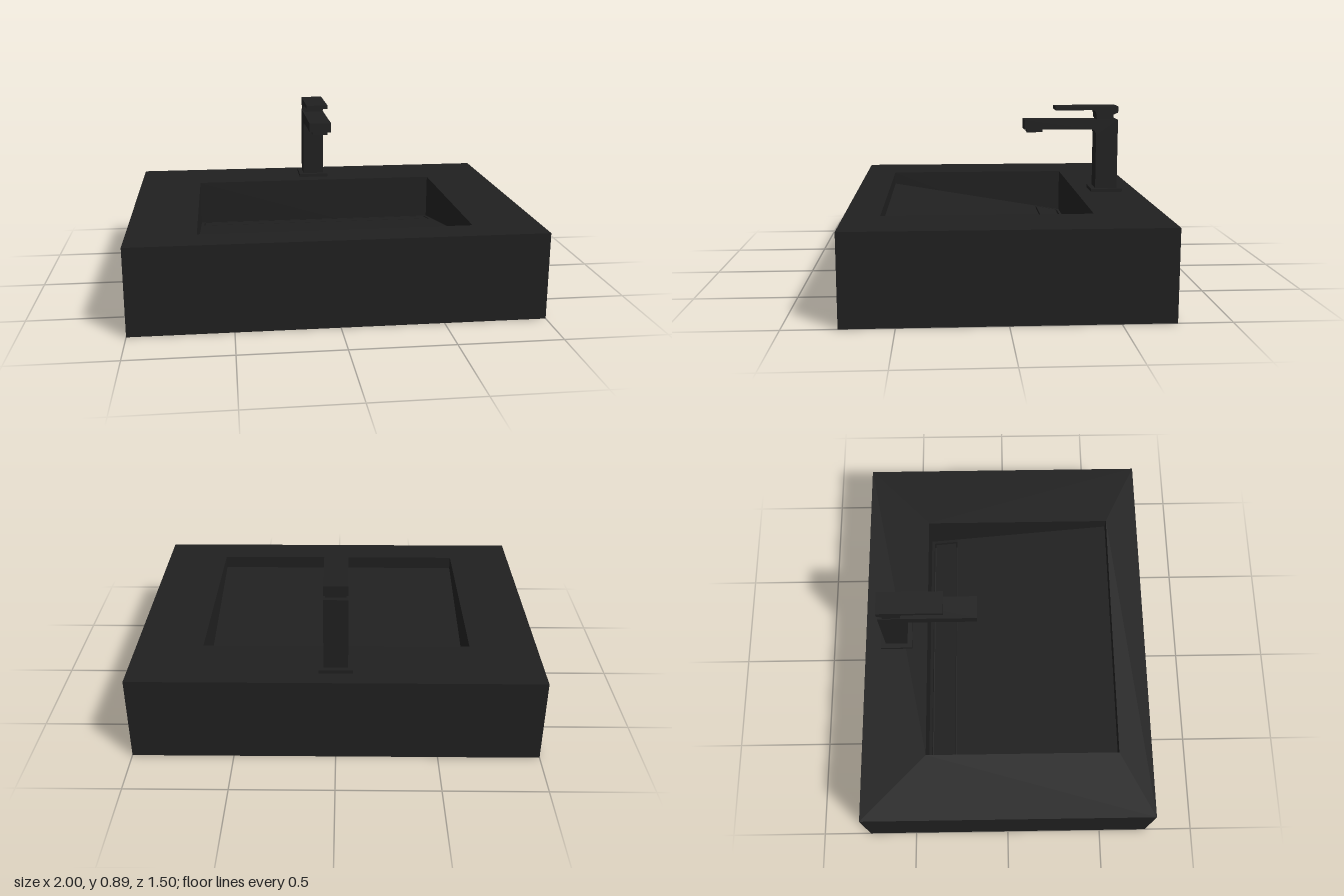
import * as THREE from 'three';

const material = new THREE.MeshStandardMaterial({ color: 0x202020 });

function addMesh(parent, name, geometry) {
  const mesh = new THREE.Mesh(geometry, material);
  mesh.name = name;
  parent.add(mesh);
  return mesh;
}

// Box given by its limits on each axis
function addBox(parent, name, [x0, x1], [y0, y1], [z0, z1]) {
  const geometry = new THREE.BoxGeometry(x1 - x0, y1 - y0, z1 - z0);
  geometry.translate((x0 + x1) / 2, (y0 + y1) / 2, (z0 + z1) / 2);
  return addMesh(parent, name, geometry);
}

// Side profile in (z, y), extruded across the width and centred on x = 0
function addProfile(parent, name, shape, halfWidth) {
  const geometry = new THREE.ExtrudeGeometry(shape, { depth: 2 * halfWidth, bevelEnabled: false, curveSegments: 8 });
  geometry.translate(0, 0, -halfWidth).rotateY(-Math.PI / 2);
  return addMesh(parent, name, geometry);
}

const polygon = (points) => points.map(([x, y]) => new THREE.Vector2(x, y));

const rectangle = (x, z0, z1) => polygon([[-x, -z1], [x, -z1], [x, -z0], [-x, -z0]]);

// Rectangular ring lying flat, between two heights
function addFrame(parent, name, outer, inner, y0, y1) {
  const shape = new THREE.Shape(outer);
  shape.holes.push(new THREE.Path(inner));
  const geometry = new THREE.ExtrudeGeometry(shape, { depth: y1 - y0, bevelEnabled: false });
  geometry.rotateX(-Math.PI / 2).translate(0, y0, 0);
  return addMesh(parent, name, geometry);
}

// Height of the sloping basin floor at depth z
const floorY = (z) => 0.266 + 0.17 * z;

function createBasin() {
  const basin = new THREE.Group();
  basin.name = 'basin';
  const outer = rectangle(1, -0.75, 0.75);

  // Thick surround, and the low rim beneath that leaves the underside recessed
  addFrame(basin, 'surround', outer, rectangle(0.665, -0.42, 0.58), 0.035, 0.433);
  addFrame(basin, 'undersideRim', outer, rectangle(0.93, -0.68, 0.68), 0, 0.035);

  // Floor sloping down to a drain slot at the back
  const floor = new THREE.Shape(polygon([
    [0.58, 0.035], [0.58, floorY(0.58)], [-0.27, floorY(-0.27)], [-0.27, 0.14],
    [-0.405, 0.14], [-0.405, floorY(-0.405)], [-0.42, floorY(-0.42)], [-0.42, 0.035],
  ]));
  addProfile(basin, 'slopedFloor', floor, 0.665);

  // Slot ends follow the floor slope
  const slotEnd = new THREE.Shape(polygon([
    [-0.405, 0.14], [-0.27, 0.14], [-0.27, floorY(-0.27)], [-0.405, floorY(-0.405)],
  ]));
  for (const side of [-1, 1]) {
    addProfile(basin, 'slotEnd', slotEnd, 0.0075).position.x = side * 0.6575;
  }

  // Drain cover, set flush with the slope
  const cover = new THREE.Shape(polygon([
    [-0.395, 0.165], [-0.278, 0.165], [-0.278, floorY(-0.278)], [-0.395, floorY(-0.395)],
  ]));
  addProfile(basin, 'drainCover', cover, 0.64);
  return basin;
}

function createFaucet() {
  const faucet = new THREE.Group();
  faucet.name = 'faucet';
  const halfWidth = 0.059;

  addBox(faucet, 'basePlate', [-0.083, 0.083], [0.433, 0.45], [-0.667, -0.5]);

  // Column and spout in one piece, with a rounded inner corner
  const body = new THREE.Shape();
  body.moveTo(-0.641, 0.45);
  body.lineTo(-0.525, 0.45);
  body.lineTo(-0.525, 0.732);
  body.quadraticCurveTo(-0.525, 0.767, -0.49, 0.767);
  body.lineTo(-0.142, 0.767);
  body.lineTo(-0.142, 0.817);
  body.lineTo(-0.641, 0.817);
  body.closePath();
  addProfile(faucet, 'columnAndSpout', body, halfWidth);

  addBox(faucet, 'aerator', [-0.042, 0.042], [0.751, 0.767], [-0.24, -0.157]);
  addBox(faucet, 'handleNeck', [-0.05, 0.05], [0.817, 0.845], [-0.615, -0.53]);

  // Lever with a heavier root over the column
  const lever = new THREE.Shape();
  lever.moveTo(-0.641, 0.888);
  lever.lineTo(-0.641, 0.855);
  lever.lineTo(-0.615, 0.843);
  lever.lineTo(-0.615, 0.824);
  lever.lineTo(-0.525, 0.824);
  lever.lineTo(-0.525, 0.845);
  lever.quadraticCurveTo(-0.522, 0.868, -0.5, 0.868);
  lever.lineTo(-0.308, 0.868);
  lever.lineTo(-0.308, 0.888);
  lever.closePath();
  addProfile(faucet, 'lever', lever, halfWidth);
  return faucet;
}

export function createModel() {
  const model = new THREE.Group();
  model.name = 'washbasin';
  model.add(createBasin(), createFaucet());
  return model;
}
